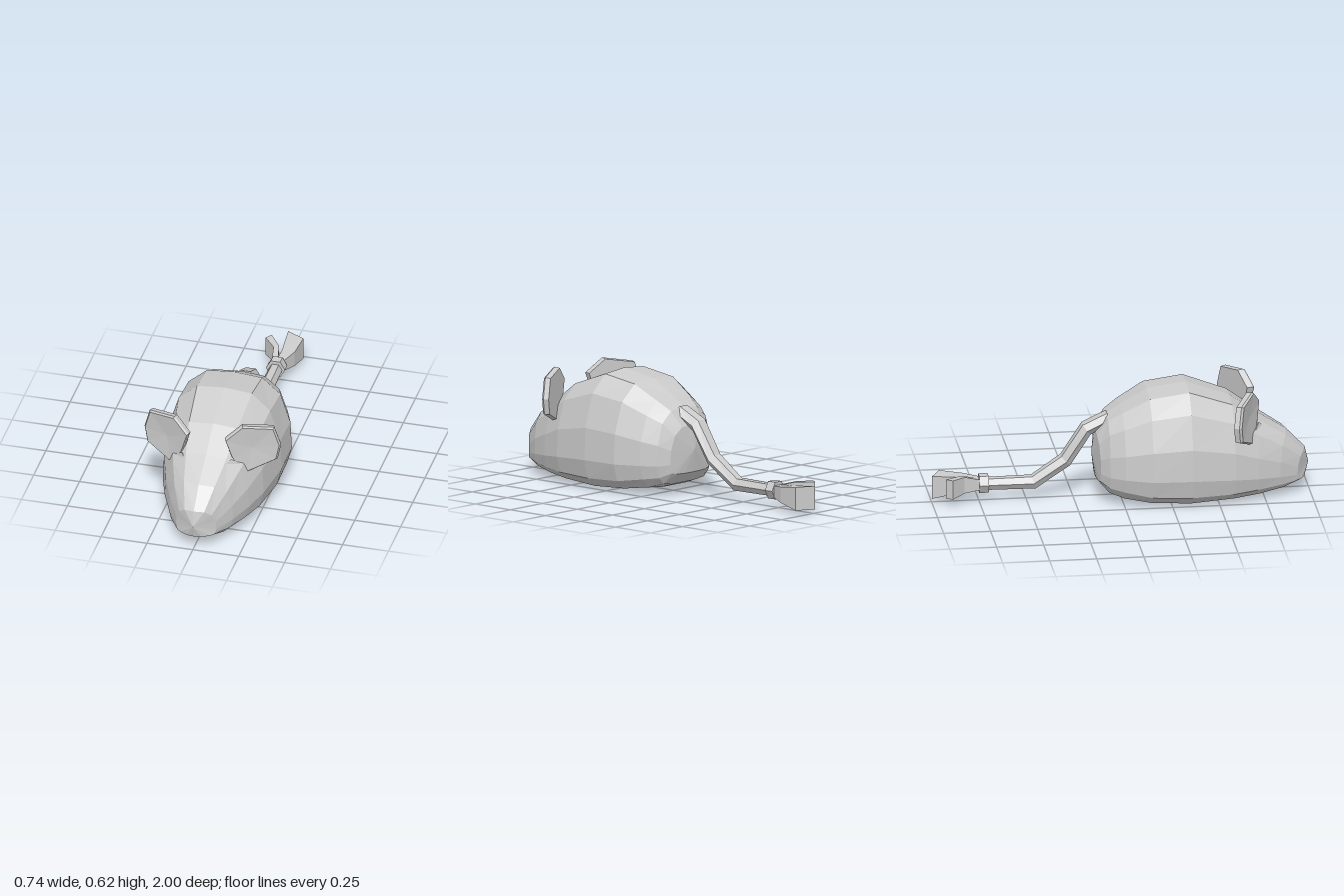
import * as THREE from 'three';

const material = new THREE.MeshStandardMaterial({ color: 0xcccccc, flatShading: true });
const V = (x, y, z) => new THREE.Vector3(x, y, z);

// Closed skin over cross-sections; each end is a fan to its centre (or a given tip).
function loft(name, rings, startTip, endTip) {
  const tris = [];
  const n = rings[0].length;
  const centre = (r) => r.reduce((a, p) => a.add(p), V(0, 0, 0)).divideScalar(n);
  const first = rings[0], last = rings[rings.length - 1];
  const a = startTip || centre(first), b = endTip || centre(last);
  for (let j = 0; j < n; j++) {
    const k = (j + 1) % n;
    tris.push([a, first[k], first[j]], [b, last[j], last[k]]);
    for (let i = 0; i + 1 < rings.length; i++) {
      const p = rings[i], q = rings[i + 1];
      tris.push([p[j], p[k], q[j]], [p[k], q[k], q[j]]);
    }
  }
  // Turn the faces outward whatever the direction of the rings.
  const volume = tris.reduce((s, [p, q, r]) => s + p.dot(q.clone().cross(r)), 0);
  const points = tris.flatMap(([p, q, r]) => (volume < 0 ? [p, r, q] : [p, q, r]));
  const geometry = new THREE.BufferGeometry().setFromPoints(points);
  geometry.computeVertexNormals();
  const mesh = new THREE.Mesh(geometry, material);
  mesh.name = name;
  return mesh;
}

// Body ring: rounded back, steep sides, flat belly; bend sweeps the sides back.
function bodyRing([z, top, edge, bottom, w, bend]) {
  const back = [[0, 1], [0.48, 0.975], [0.8, 0.81], [0.975, 0.49], [1, 0.18], [0.92, 0]];
  const half = back.map(([x, f]) => [x, edge + f * (top - edge)]);
  half.push([0.74, bottom + 0.2 * (edge - bottom)], [0.35, bottom], [0, bottom]);
  const mirrored = half.slice(1, -1).reverse().map(([x, y]) => [-x, y]);
  return half.concat(mirrored).map(([x, y]) => V(x * w, y, z - bend * x * x));
}

// Upright rectangle between two plan points, used for the tail tip blades.
const slab = (x0, z0, x1, z1, y0, y1) => [V(x0, y0, z0), V(x1, y0, z1), V(x1, y1, z1), V(x0, y1, z0)];

function createEar(side) {
  const ear = new THREE.Group();
  ear.name = side > 0 ? 'leftEar' : 'rightEar';
  const outline = [[0.1, 0.53], [0.185, 0.603], [0.34, 0.575], [0.372, 0.465],
    [0.355, 0.38], [0.2, 0.315], [0.135, 0.415]];
  const ring = (scale, dx, dz) => outline.map(([x, y]) => {
    const ex = 0.235 + (x - 0.235) * scale, ey = 0.465 + (y - 0.465) * scale;
    return V(side * (ex + dx), ey, 0.73 - 0.48 * (ex - 0.1) + dz);
  });
  // Thin plate with a narrow rim and a shallow dish.
  ear.add(loft('earPlate', [ring(0.95, 0, 0), ring(1, 0, -0.012), ring(0.97, -0.008, -0.04)],
    V(side * 0.235, 0.465, 0.655)));
  // Wedge blending the ear into the head.
  ear.add(loft('earBase', [
    [V(side * 0.135, 0.415, 0.72), V(side * 0.19, 0.37, 0.69), V(side * 0.17, 0.34, 0.67), V(side * 0.12, 0.38, 0.68)],
    [V(side * 0.1, 0.385, 0.76), V(side * 0.175, 0.31, 0.74), V(side * 0.15, 0.3, 0.68), V(side * 0.09, 0.34, 0.7)],
  ]));
  return ear;
}

function createTail() {
  const tail = new THREE.Group();
  tail.name = 'tail';
  // Hexagonal section: z, y, half width, half height, lean of the section
  const tailRing = ([z, y, w, h, lean]) => Array.from({ length: 6 }, (_, i) => {
    const a = (i / 6) * Math.PI * 2;
    const up = Math.sin(a) * h / 0.866;
    return V(Math.cos(a) * w, y + up * Math.cos(lean), z - up * Math.sin(lean));
  });
  tail.add(loft('tailStem', [
    [-0.06, 0.435, 0.057, 0.03, 0.4], [-0.18, 0.375, 0.055, 0.034, 0.65], [-0.29, 0.205, 0.048, 0.034, 0.75],
    [-0.46, 0.09, 0.04, 0.034, 0.3], [-0.73, 0.09, 0.036, 0.03, 0],
  ].map(tailRing)));
  tail.add(loft('tailCollar', [[-0.7, 0.093, 0.052, 0.046, 0], [-0.75, 0.093, 0.05, 0.046, 0]].map(tailRing)));

  // Two flared blades at the tip.
  tail.add(loft('largeTuft', [
    slab(-0.005, -0.74, 0.03, -0.74, 0.06, 0.12),
    slab(0, -0.84, 0.07, -0.83, 0.045, 0.13),
    slab(-0.01, -1, 0.086, -0.95, 0.02, 0.145),
  ]));
  tail.add(loft('smallTuft', [
    slab(-0.03, -0.74, 0, -0.75, 0.065, 0.12),
    slab(-0.045, -0.83, -0.018, -0.845, 0.055, 0.145),
    slab(-0.107, -0.9, -0.083, -0.935, 0.045, 0.15),
  ]));
  return tail;
}

export function createModel() {
  const model = new THREE.Group();
  model.name = 'mouse';
  // z, back height, belly edge height, belly height, half width, bend
  const sections = [
    [0.98, 0.225, 0.075, 0.07, 0.11, 0.05],
    [0.88, 0.33, 0.07, 0.04, 0.175, 0.05],
    [0.73, 0.425, 0.065, 0.02, 0.23, 0.02],
    [0.58, 0.53, 0.06, 0.01, 0.275, 0],
    [0.35, 0.615, 0.06, 0, 0.312, 0],
    [0.14, 0.585, 0.07, 0.012, 0.312, 0],
    [0, 0.505, 0.09, 0.03, 0.26, 0],
    [-0.075, 0.455, 0.1, 0.055, 0.21, 0],
    [-0.135, 0.37, 0.125, 0.115, 0.155, -0.015],
  ];
  model.add(loft('body', sections.map(bodyRing), V(0, 0.14, 1), V(0, 0.24, -0.152)));
  model.add(createEar(1), createEar(-1), createTail());
  return model;
}
